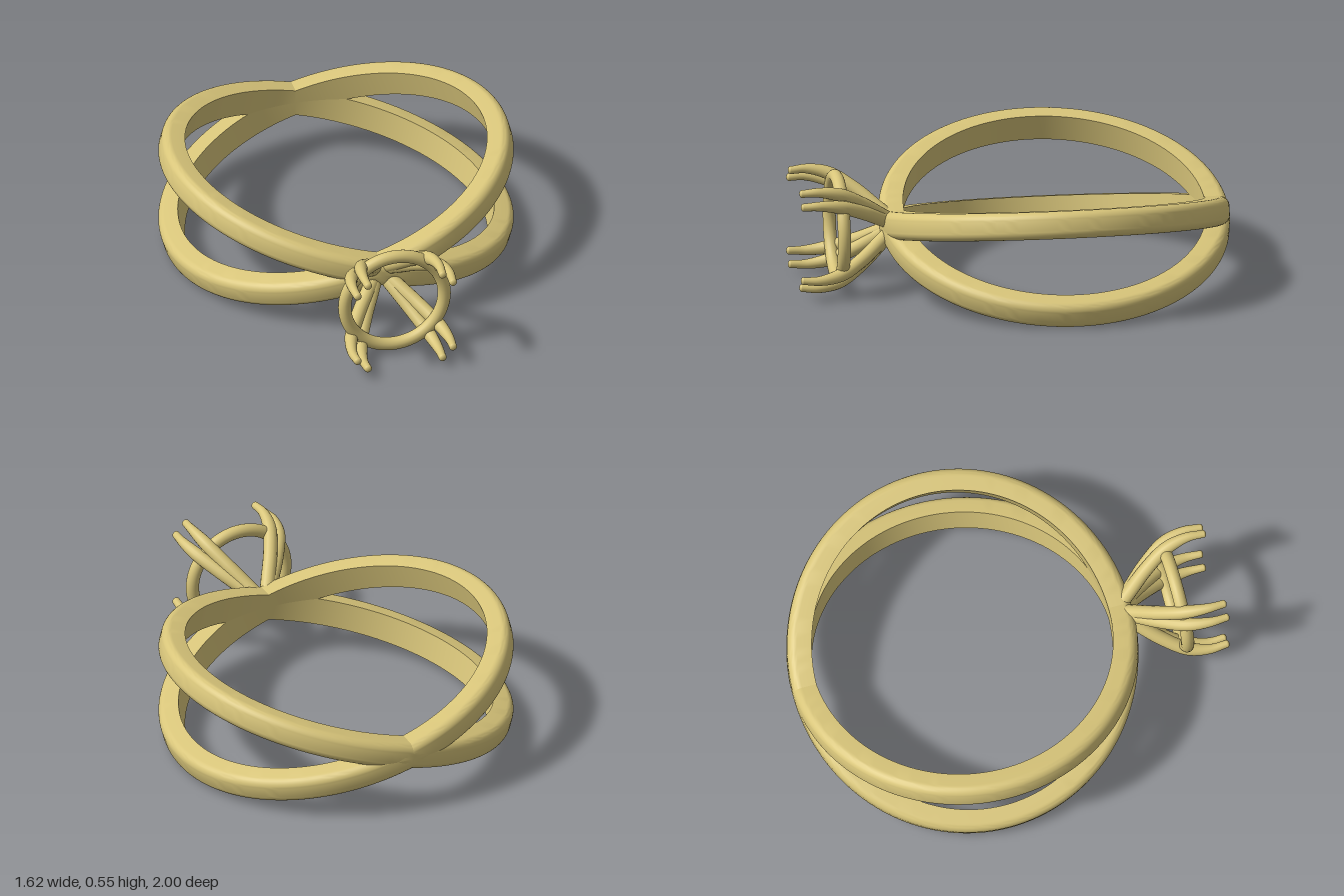
import * as THREE from 'three';
import { toCreasedNormals } from 'three/addons/utils/BufferGeometryUtils.js';

const gold = new THREE.MeshStandardMaterial({ color: 0xd8c57a });
const CENTRE_Y = 0.287;
const TILT = 0.273;

function add(parent, name, geometry) {
  const mesh = new THREE.Mesh(geometry, gold);
  mesh.name = name;
  parent.add(mesh);
  return mesh;
}

// Band: flat inside, softly rounded outside, slightly wider along x
function bandGeometry() {
  const inner = 0.69, outer = 0.8, half = 0.063, round = 0.042;
  const profile = [new THREE.Vector2(inner, -half)];
  for (const side of [-1, 1]) {
    for (let i = 0; i <= 8; i++) {
      const a = (side < 0 ? i / 8 - 1 : i / 8) * Math.PI / 2;
      profile.push(new THREE.Vector2(
        outer - round + round * Math.cos(a),
        side * (half - round) + round * Math.sin(a)));
    }
  }
  profile.push(new THREE.Vector2(inner, half), new THREE.Vector2(inner, -half));
  const g = new THREE.LatheGeometry(profile, 144);
  const p = g.attributes.position;
  for (let i = 0; i < p.count; i++) {
    const r = Math.hypot(p.getX(i), p.getZ(i));
    const stretch = THREE.MathUtils.mapLinear(r, inner, outer, 1.062, 1.042);
    p.setX(i, p.getX(i) * stretch);
  }
  return toCreasedNormals(g, 0.6);
}

// Tube whose radius follows a rule along its length
function taperedTube(curve, steps, sides, radiusAt) {
  const g = new THREE.TubeGeometry(curve, steps, 1, sides);
  const p = g.attributes.position, n = g.attributes.normal;
  for (let i = 0; i <= steps; i++) {
    const c = curve.getPointAt(i / steps), r = radiusAt(i / steps);
    for (let j = 0; j <= sides; j++) {
      const k = i * (sides + 1) + j;
      p.setXYZ(k, c.x + r * n.getX(k), c.y + r * n.getY(k), c.z + r * n.getZ(k));
    }
  }
  return g;
}

export function createModel() {
  const model = new THREE.Group();
  model.name = 'ring';

  // Two crossing bands
  const bandShape = bandGeometry();
  for (const side of [-1, 1]) {
    const band = add(model, side > 0 ? 'bandLeftHigh' : 'bandRightHigh', bandShape);
    band.position.set(0, CENTRE_Y, -0.2);
    band.rotation.z = side * TILT;
  }

  // Stone setting
  const setting = new THREE.Group();
  setting.name = 'setting';
  setting.position.y = CENTRE_Y;
  model.add(setting);
  add(setting, 'collar', new THREE.TorusGeometry(0.235, 0.03, 20, 72)).position.z = 0.8;

  // Four pairs of curved prongs, each [distance from axis, z]
  const path = [[0.04, 0.56], [0.09, 0.61], [0.18, 0.7], [0.262, 0.81], [0.29, 0.91], [0.286, 0.987]];
  const curve = new THREE.CatmullRomCurve3(path.map(([r, z]) => new THREE.Vector3(r, 0, z)));
  const radiusAt = t => 0.034 - 0.004 * t - 0.012 * THREE.MathUtils.smoothstep(t, 0.6, 1);
  const prongShape = taperedTube(curve, 40, 16, radiusAt);
  const rootShape = new THREE.SphereGeometry(radiusAt(0), 16, 12);
  const tipShape = new THREE.SphereGeometry(radiusAt(1), 16, 12);
  for (let i = 0; i < 4; i++) {
    for (const side of [-1, 1]) {
      const prong = new THREE.Group();
      prong.name = 'prong';
      prong.rotation.z = Math.PI / 4 + i * Math.PI / 2 + side * 0.122;
      add(prong, 'prongStem', prongShape);
      add(prong, 'prongRoot', rootShape).position.copy(curve.getPoint(0));
      const tip = add(prong, 'prongTip', tipShape);
      tip.position.copy(curve.getPoint(1));
      tip.scale.z = 0.7;
      setting.add(prong);
    }
  }
  return model;
}
